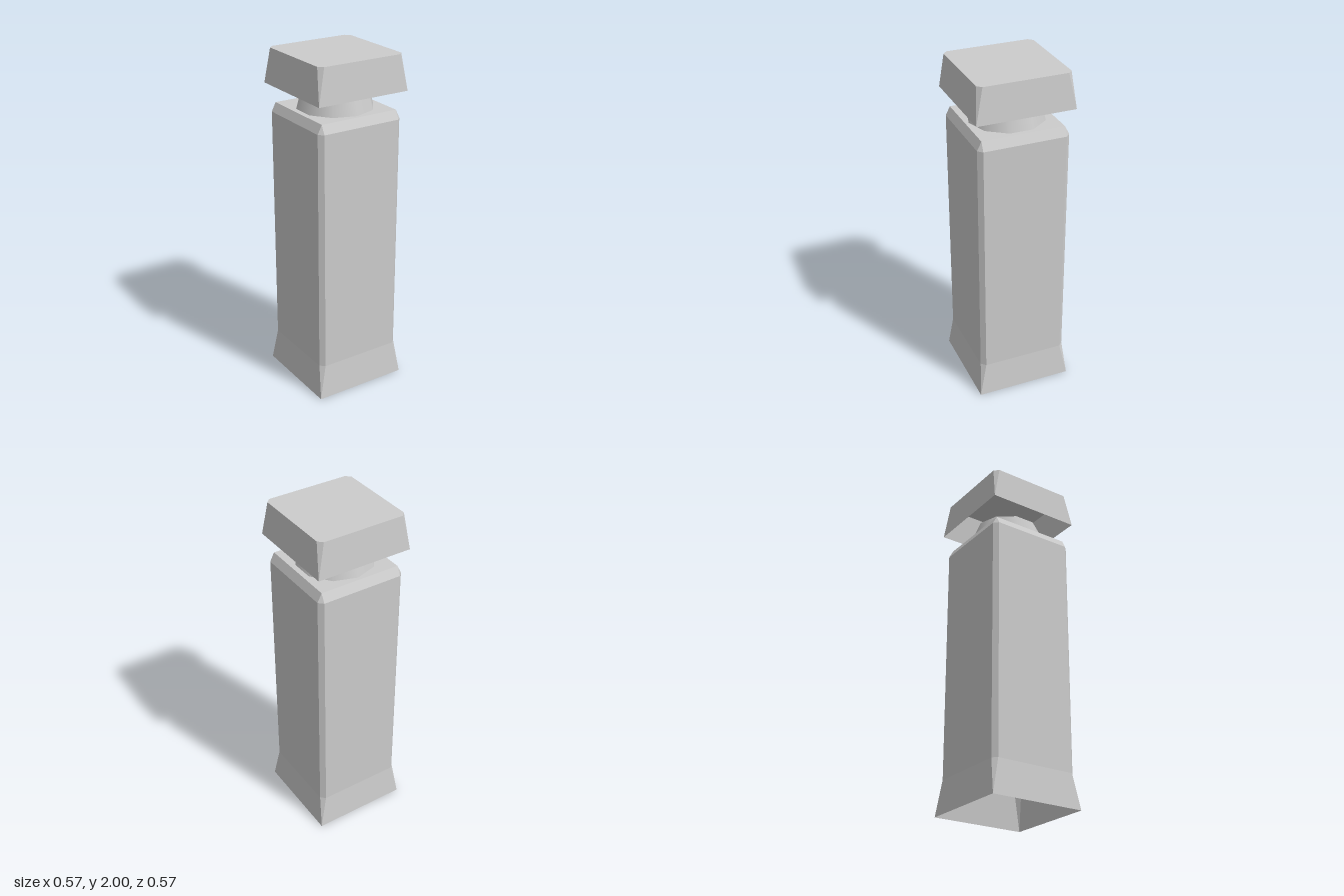
import * as THREE from 'three';

// Square outline with cut corners: h = half width, c = half length of the straight edge.
// c equal to h gives a sharp corner. Runs counter-clockwise seen from above.
function ring(y, h, c) {
  const points = [];
  let pair = [[c, h], [h, c]];
  for (let k = 0; k < 4; k++) {
    for (const [x, z] of pair) points.push(new THREE.Vector3(x, y, z));
    pair = pair.map(([x, z]) => [z, -x]);
  }
  return points;
}

// Flat-shaded shell through the rings, closed on top and open below.
function shell(rings) {
  const positions = [];
  const face = (a, b, c) => {
    if (new THREE.Triangle(a, b, c).getArea() < 1e-7) return;
    for (const p of [a, b, c]) positions.push(p.x, p.y, p.z);
  };
  for (let r = 0; r < rings.length - 1; r++) {
    const low = rings[r], high = rings[r + 1];
    for (let i = 0; i < 8; i++) {
      const j = (i + 1) % 8;
      face(low[i], low[j], high[j]);
      face(low[i], high[j], high[i]);
    }
  }
  const top = rings[rings.length - 1];
  for (let i = 1; i < 7; i++) face(top[0], top[i], top[i + 1]);
  const geometry = new THREE.BufferGeometry();
  geometry.setAttribute('position', new THREE.Float32BufferAttribute(positions, 3));
  geometry.computeVertexNormals();
  return geometry;
}

export function createModel() {
  const group = new THREE.Group();
  group.name = 'bollard';
  const grey = new THREE.MeshStandardMaterial({ color: 0xcccccc, side: THREE.DoubleSide });
  grey.name = 'grey';

  const add = (name, geometry) => {
    const mesh = new THREE.Mesh(geometry, grey);
    mesh.name = name;
    group.add(mesh);
    return mesh;
  };

  // Post: flared foot, chamfered shaft, bevelled shoulder
  add('post', shell([
    ring(0, 0.286, 0.286),
    ring(0.205, 0.268, 0.242),
    ring(1.633, 0.268, 0.242),
    ring(1.684, 0.242, 0.242),
  ]));

  // Tapered ten-sided neck, smooth shaded
  add('neck', new THREE.CylinderGeometry(0.196, 0.222, 0.1, 10)).position.y = 1.734;

  // Hollow cap hovering just above the neck
  add('cap', shell([
    ring(1.795, 0.286, 0.286),
    ring(2, 0.268, 0.242),
  ]));

  return group;
}
